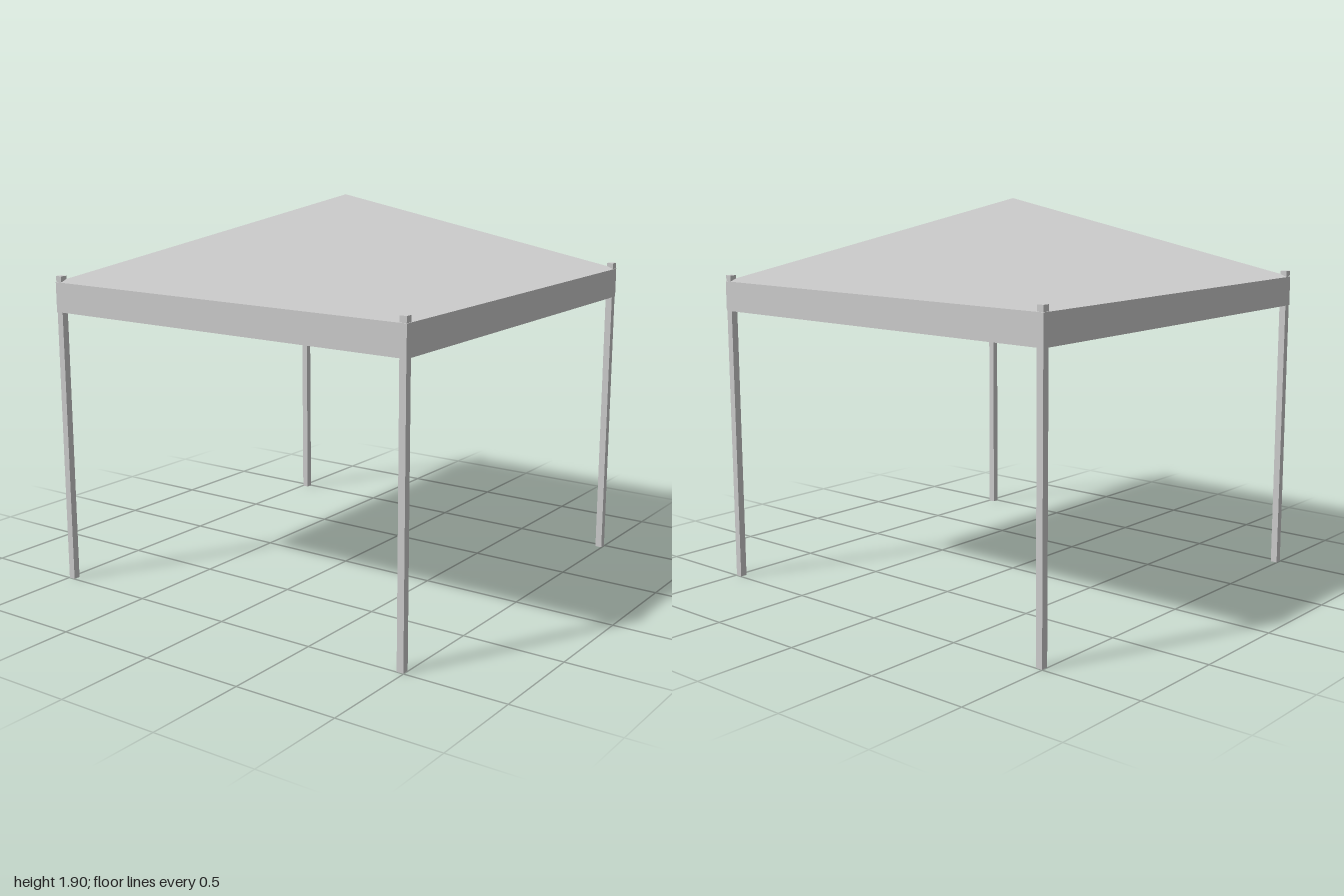
import * as THREE from 'three';

export function createModel() {
  const group = new THREE.Group();
  group.name = 'canopyTent';
  const grey = new THREE.MeshStandardMaterial({ color: 0xcccccc, side: THREE.DoubleSide });
  grey.name = 'light grey';

  const add = (geometry, name) => {
    const mesh = new THREE.Mesh(geometry, grey);
    mesh.name = name;
    group.add(mesh);
    return mesh;
  };

  const eave = 1.5, hem = 1.355, peak = 1.9, postTop = 1.53, postWidth = 0.034;

  // Fabric roof: an open pyramid, softly shaded with upright normals
  const roof = new THREE.BufferGeometry();
  roof.setAttribute('position', new THREE.Float32BufferAttribute([
    0, peak, 0, -1, eave, 1, 1, eave, 1, 1, eave, -1, -1, eave, -1,
  ], 3));
  roof.setAttribute('normal', new THREE.Float32BufferAttribute(
    Array.from({ length: 15 }, (_, i) => (i % 3 === 1 ? 1 : 0)), 3));
  roof.setIndex([0, 1, 2, 0, 2, 3, 0, 3, 4, 0, 4, 1]);
  add(roof, 'roof');

  // Hanging valance on each side
  for (let i = 0; i < 4; i++) {
    const panel = new THREE.PlaneGeometry(2, eave - hem);
    panel.translate(0, (eave + hem) / 2, 1);
    panel.rotateY(i * Math.PI / 2);
    add(panel, 'valance');
  }

  // Square corner posts, poking just above the eaves
  const offset = 0.998 - postWidth / 2;
  for (const x of [-1, 1]) {
    for (const z of [-1, 1]) {
      const post = add(new THREE.BoxGeometry(postWidth, postTop, postWidth), 'cornerPost');
      post.position.set(x * offset, postTop / 2, z * offset);
    }
  }
  return group;
}
